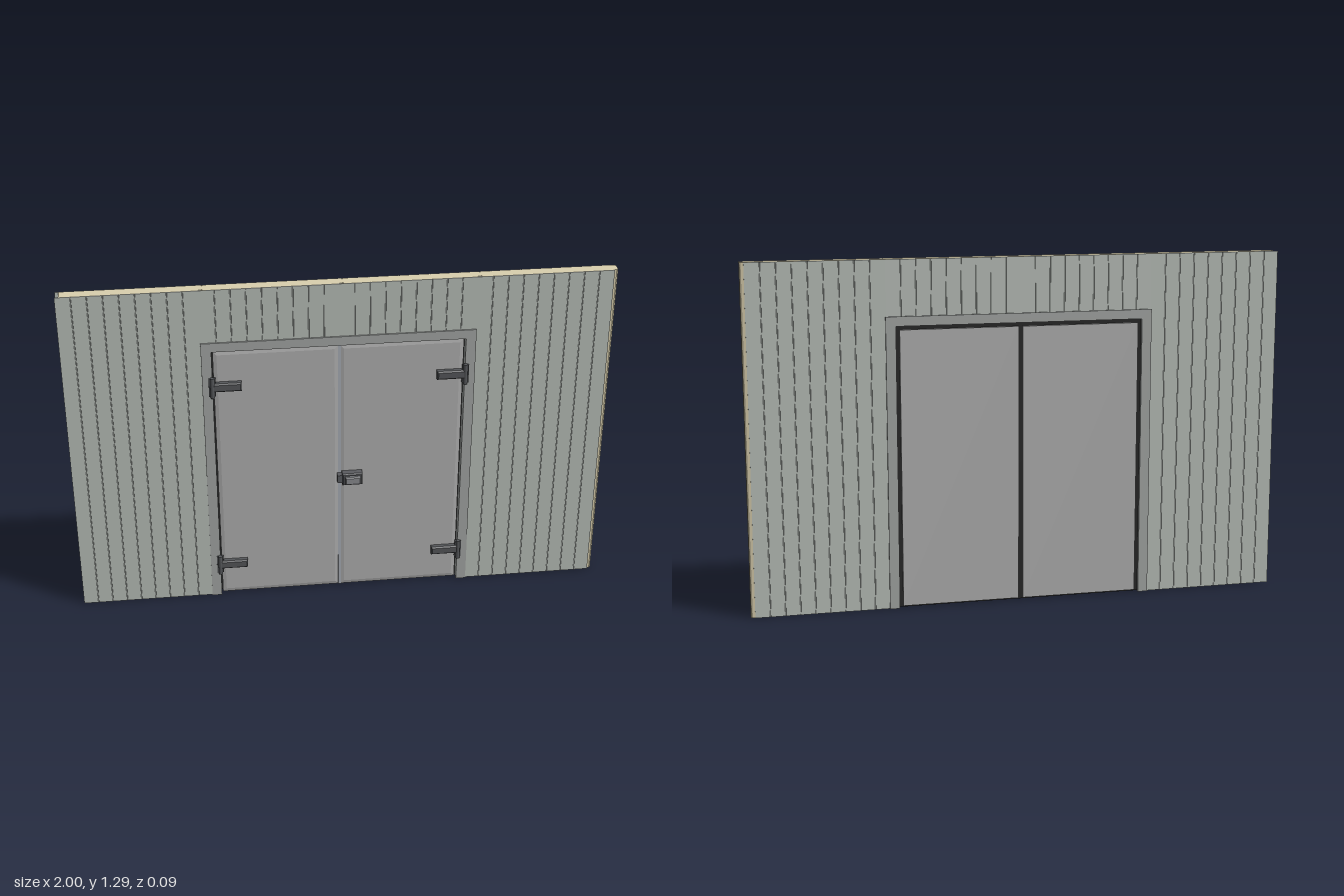
import * as THREE from 'three';

const H = 1.295;          // wall height
const PANEL = 0.49625;    // width of one wall panel
const TONGUE = 0.015;     // tongue and groove depth
const FRONT = 0.008, BACK = -0.04; // wall faces
const LINTEL = 1.06;      // underside of the panels above the door

const mat = (color) => new THREE.MeshStandardMaterial({ color });
const M = {
  sheet: mat(0xb9bfb9), core: mat(0xd9cfae), groove: mat(0x2a2b2b),
  frame: mat(0xa4a7a5), door: mat(0xb0b0b0), seal: mat(0x262626),
  strip: mat(0xa9aeb6), hinge: mat(0x55575a), lock: mat(0x5a5c60), lever: mat(0x8a8c90),
};

function add(parent, name, geometry, material) {
  const mesh = new THREE.Mesh(geometry, material);
  mesh.name = name;
  parent.add(mesh);
  return mesh;
}

// box given by its limits on each axis
function box(parent, name, material, x0, x1, y0, y1, z0, z1) {
  const mesh = add(parent, name, new THREE.BoxGeometry(x1 - x0, y1 - y0, z1 - z0), material);
  mesh.position.set((x0 + x1) / 2, (y0 + y1) / 2, (z0 + z1) / 2);
  return mesh;
}

// plan outline of [x, z] points raised from y0 to y1
function raise(points, y0, y1) {
  const shape = new THREE.Shape(points.map(([x, z]) => new THREE.Vector2(x, -z)));
  return new THREE.ExtrudeGeometry(shape, { depth: y1 - y0, bevelEnabled: false })
    .rotateX(-Math.PI / 2).translate(0, y0, 0);
}

// chamfered plate in the xy plane, from z0 forward to z1
function plate(x0, x1, y0, y1, z0, z1, chamfer, rise) {
  const c = chamfer;
  const shape = new THREE.Shape([
    [x0 + c, y0 + c], [x1 - c, y0 + c], [x1 - c, y1 - c], [x0 + c, y1 - c],
  ].map(([x, y]) => new THREE.Vector2(x, y)));
  return new THREE.ExtrudeGeometry(shape, {
    depth: z1 - z0 - 2 * rise, bevelSize: c, bevelThickness: rise, bevelSegments: 1,
  }).translate(0, 0, z0 + rise);
}

// thin sheet with narrow vertical grooves; s is the outward z direction
function ribbedSheet(z, s, y0, y1) {
  const points = [[0, z - s * 0.002], [0, z]];
  for (let i = 1; i < 9; i++) {
    const x = (i * PANEL) / 9;
    points.push([x - 0.002, z], [x - 0.001, z - s * 0.0008], [x + 0.001, z - s * 0.0008], [x + 0.002, z]);
  }
  points.push([PANEL, z], [PANEL, z - s * 0.002]);
  return raise(points, y0, y1);
}

function wallPanel(x, y0) {
  const g = new THREE.Group();
  g.name = 'wallPanel';
  g.position.x = x;
  const f = FRONT - 0.002, b = BACK + 0.002, w = PANEL;
  add(g, 'foamCore', raise([
    [TONGUE, b], [w, b], [w + 0.009, b + 0.001], [w + TONGUE, b + 0.006],
    [w + TONGUE, -0.004], [w + 0.009, 0.001], [w, 0.001], [w, f], [TONGUE, f],
  ], y0, H), M.core);
  add(g, 'frontSheet', ribbedSheet(FRONT, 1, y0, H), M.sheet);
  add(g, 'backSheet', ribbedSheet(BACK, -1, y0, H), M.sheet);
  return g;
}

// strap hinge for the left-hand (-x) edge; side mirrors it
function hinge(side, y) {
  const g = new THREE.Group();
  g.name = 'hinge';
  const span = (a, b) => (side < 0 ? [-b, -a] : [a, b]);
  const [a0, a1] = span(0.357, 0.462);
  add(g, 'hingeArm', plate(a0, a1, y - 0.017, y + 0.017, 0, 0.027, 0.005, 0.006), M.hinge);
  box(g, 'hingeLeaf', M.hinge, ...span(0.45, 0.475), y - 0.036, y + 0.036, 0.008, 0.018);
  const pin = add(g, 'hingePin', new THREE.CylinderGeometry(0.008, 0.008, 0.08, 16), M.hinge);
  pin.position.set(side * 0.462, y, 0.021);
  return g;
}

export function createModel() {
  const model = new THREE.Group();
  model.name = 'doubleDoorInWall';

  // four interlocking panels, the middle two only above the door
  for (let i = 0; i < 4; i++) {
    model.add(wallPanel(-1 + i * PANEL, i === 1 || i === 2 ? LINTEL : 0));
  }
  box(model, 'endGroove', M.groove, -0.987, -0.9845, 0, H - 0.002, BACK + 0.002, FRONT - 0.002);

  const doorway = new THREE.Group();
  doorway.name = 'doorway';
  doorway.position.x = -0.0075;
  model.add(doorway);

  // frame wrapping both faces of the wall
  const frame = new THREE.Shape([
    [-0.498, 0], [-0.461, 0], [-0.461, 1.055], [0.461, 1.055],
    [0.461, 0], [0.498, 0], [0.498, 1.09], [-0.498, 1.09],
  ].map(([x, y]) => new THREE.Vector2(x, y)));
  add(doorway, 'frame', new THREE.ExtrudeGeometry(frame, { depth: 0.06, bevelEnabled: false })
    .translate(0, 0, -0.047), M.frame);

  // dark gasket filling the opening between front and back leaves
  box(doorway, 'gasket', M.seal, -0.461, 0.461, 0.003, 1.055, -0.036, -0.018);

  for (const side of [-1, 1]) {
    const leaf = new THREE.Group();
    leaf.name = side < 0 ? 'rightDoor' : 'leftDoor';
    const span = (a, b) => (side < 0 ? [-b, -a] : [a, b]);
    add(leaf, 'frontLeaf', plate(...span(0.003, 0.456), 0.005, 1.05, -0.02, 0.001, 0.014, 0.003), M.door);
    box(leaf, 'leafRim', M.door, ...span(0.003, 0.456), 0.005, 1.05, -0.02, -0.003);
    box(leaf, 'backLeaf', M.door, ...span(0.008, 0.447), 0.008, 1.041, -0.043, -0.035);
    for (const y of [0.145, 0.915]) leaf.add(hinge(side, y));
    doorway.add(leaf);
  }
  box(doorway, 'meetingStrip', M.strip, -0.005, 0.005, 0.005, 1.05, -0.018, 0.002);

  // latch: keeper, body and raised lever
  const latch = new THREE.Group();
  latch.name = 'latch';
  box(latch, 'latchKeeper', M.lock, -0.01, 0.012, 0.484, 0.516, 0, 0.026);
  add(latch, 'latchBody', plate(0.008, 0.084, 0.475, 0.525, 0, 0.034, 0.004, 0.005), M.lock);
  add(latch, 'latchLever', plate(0.018, 0.076, 0.484, 0.516, 0.03, 0.047, 0.004, 0.004), M.lever);
  doorway.add(latch);

  return model;
}
